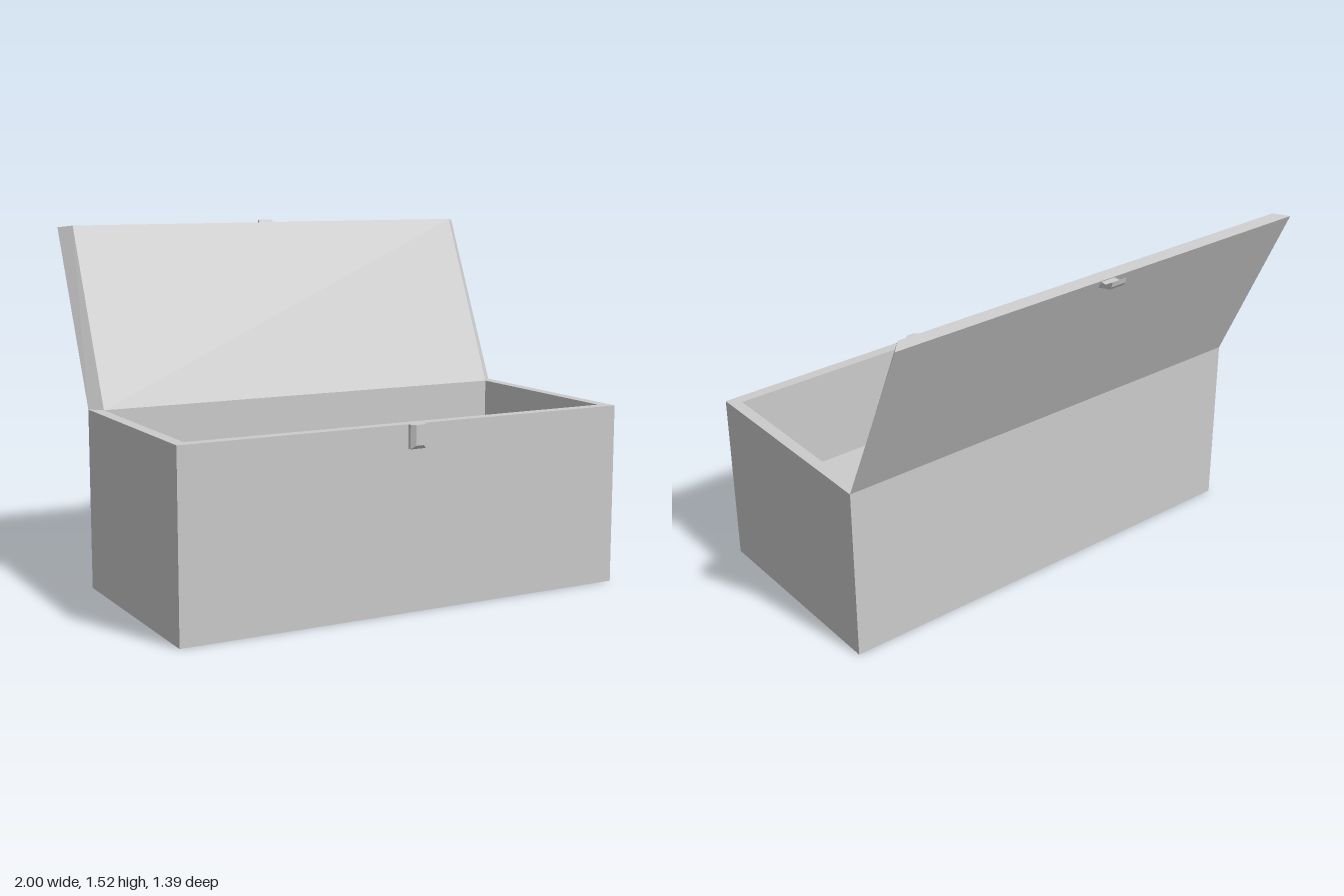
import * as THREE from 'three';

const material = new THREE.MeshStandardMaterial({ color: 0xcccccc, flatShading: true });

const HEIGHT = 0.765, FLOOR = 0.33, WALL = 0.05;
const FRONT = 0.66, BACK = -0.29;
const CATCH_X = 0.016, CATCH_W = 0.07;

function addPart(group, name, geometry) {
  const mesh = new THREE.Mesh(geometry, material);
  mesh.name = name;
  group.add(mesh);
  return mesh;
}

// Move every vertex of a geometry by a rule (x, y, z) => [x, y, z]
function reshape(geometry, rule) {
  const p = geometry.attributes.position;
  for (let i = 0; i < p.count; i++) p.setXYZ(i, ...rule(p.getX(i), p.getY(i), p.getZ(i)));
  geometry.computeVertexNormals();
  return geometry;
}

// Rectangle in plan; shape y runs towards -z
function rectangle(Type, inset) {
  const x = 1 - inset, a = -FRONT + inset, b = -BACK - inset;
  return new Type([[-x, a], [x, a], [x, b], [-x, b]].map(([u, v]) => new THREE.Vector2(u, v)));
}

export function createModel() {
  const chest = new THREE.Group();
  chest.name = 'chest';

  // Four walls around an open cavity
  const plan = rectangle(THREE.Shape, 0);
  plan.holes.push(rectangle(THREE.Path, WALL));
  const walls = new THREE.ExtrudeGeometry(plan, { depth: HEIGHT, bevelEnabled: false });
  addPart(chest, 'walls', walls.rotateX(-Math.PI / 2));

  // Thick raised floor between the walls
  const floor = new THREE.BoxGeometry(2 - 2 * WALL, FLOOR, FRONT - BACK - 2 * WALL);
  addPart(chest, 'floor', floor).position.set(0, FLOOR / 2, (FRONT + BACK) / 2);

  // Open lid leaning back, its sides bevelled towards the inner face
  const lid = reshape(new THREE.BoxGeometry(2, 1, 1), (x, y, z) => {
    const inner = z > 0;
    return [
      Math.sign(x) * (inner ? 0.95 : 1),
      y < 0 ? HEIGHT : inner ? 1.516 : 1.508,
      y < 0 ? (inner ? -0.24 : BACK) : (inner ? -0.578 : -0.632),
    ];
  });
  addPart(chest, 'lid', lid);

  // Catch on the front wall, chamfered at the sides and bottom
  const catchPlate = reshape(new THREE.BoxGeometry(CATCH_W, 1, 1, 1, 1, 2), (x, y, z) => {
    const face = z > 0.25;
    return [
      CATCH_X + x * (face ? 0.5 : 1),
      y > 0 ? HEIGHT : face ? 0.682 : 0.667,
      z < -0.25 ? FRONT : face ? 0.692 : 0.677,
    ];
  });
  addPart(chest, 'frontCatch', catchPlate);

  // Curved hook at the free edge of the lid
  const profile = new THREE.Shape([
    [0.612, 1.475], [0.646, 1.483], [0.68, 1.49], [0.69, 1.503],
    [0.695, 1.524], [0.682, 1.518], [0.659, 1.503], [0.612, 1.505],
  ].map(([u, v]) => new THREE.Vector2(u, v)));
  const hook = new THREE.ExtrudeGeometry(profile, { depth: CATCH_W, bevelEnabled: false });
  addPart(chest, 'lidHook', hook.rotateY(Math.PI / 2)).position.x = CATCH_X - CATCH_W / 2;

  return chest;
}
